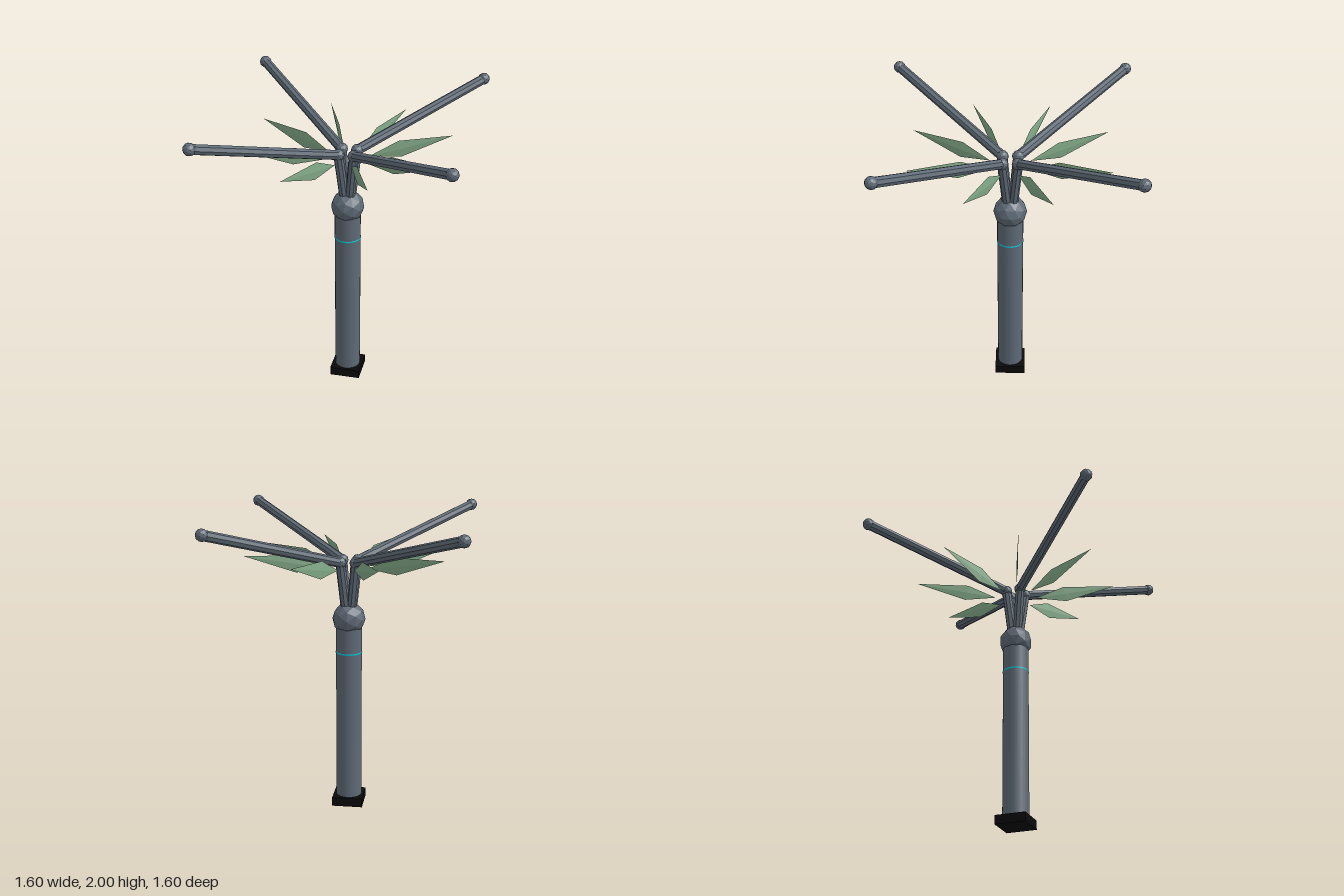
import * as THREE from 'three';

const material = (name, color) => {
  const m = new THREE.MeshStandardMaterial({ color });
  m.name = name;
  return m;
};

// Facets a geometry by giving each face its own normals
function faceted(geometry) {
  const g = geometry.index ? geometry.toNonIndexed() : geometry;
  g.computeVertexNormals();
  return g;
}

export function createModel() {
  const metal = material('slateMetal', 0x5f6b77);
  const black = material('blackBase', 0x0a0a0a);
  const cyan = material('cyanBand', 0x00c4d4);
  const green = material('leafGreen', 0x83aa88);

  const model = new THREE.Group();
  model.name = 'branchingPole';

  const add = (parent, name, geometry, mat, x = 0, y = 0, z = 0) => {
    const mesh = new THREE.Mesh(geometry, mat);
    mesh.name = name;
    mesh.position.set(x, y, z);
    parent.add(mesh);
    return mesh;
  };
  const ball = (r) => faceted(new THREE.IcosahedronGeometry(r, 1));

  // Rod between two points
  const rod = (parent, name, a, b, r) => {
    const dir = b.clone().sub(a);
    const mesh = add(parent, name, faceted(new THREE.CylinderGeometry(r, r, dir.length(), 8)), metal);
    mesh.position.copy(a).add(b).multiplyScalar(0.5);
    mesh.quaternion.setFromUnitVectors(new THREE.Vector3(0, 1, 0), dir.normalize());
  };

  // Base, column, band and hub
  add(model, 'base', new THREE.BoxGeometry(0.205, 0.06, 0.205), black, 0, 0.03, 0);
  add(model, 'column', new THREE.CylinderGeometry(0.086, 0.086, 1.2, 24), metal, 0, 0.65, 0);
  add(model, 'band', new THREE.TorusGeometry(0.077, 0.012, 6, 24), cyan, 0, 1.072, 0).rotation.x = Math.PI / 2;
  add(model, 'hub', ball(0.11), metal, 0, 1.3, 0);

  // Four bent branches on the diagonals
  for (const sx of [-1, 1]) {
    for (const sz of [-1, 1]) {
      const branch = new THREE.Group();
      branch.name = 'branch';
      const at = (d, y) => new THREE.Vector3(sx * d, y, sz * d);
      const elbow = at(0.05, 1.68);
      const tip = at(0.76, 1.96);
      rod(branch, 'stem', at(0.012, 1.3), elbow, 0.032);
      rod(branch, 'arm', elbow, tip, 0.033);
      add(branch, 'elbow', ball(0.04), metal, ...elbow.toArray());
      add(branch, 'armTip', ball(0.04), metal, ...tip.toArray());
      model.add(branch);
    }
  }

  // Upright diamond leaf with a slight ridge on either side
  const outline = [[0.14, 1.645], [0.35, 1.625], [0.685, 1.747], [0.33, 1.737]];
  const points = [];
  outline.forEach(([x, y], i) => {
    const [nx, ny] = outline[(i + 1) % 4];
    points.push(x, y, 0, nx, ny, 0, 0.34, 1.68, 0.005);
    points.push(nx, ny, 0, x, y, 0, 0.34, 1.68, -0.005);
  });
  const leaf = new THREE.BufferGeometry();
  leaf.setAttribute('position', new THREE.Float32BufferAttribute(points, 3));
  leaf.computeVertexNormals();

  // Ring of eight leaves
  for (let i = 0; i < 8; i++) {
    add(model, 'leaf', leaf, green).rotation.y = (i + 0.5) * Math.PI / 4;
  }
  return model;
}
